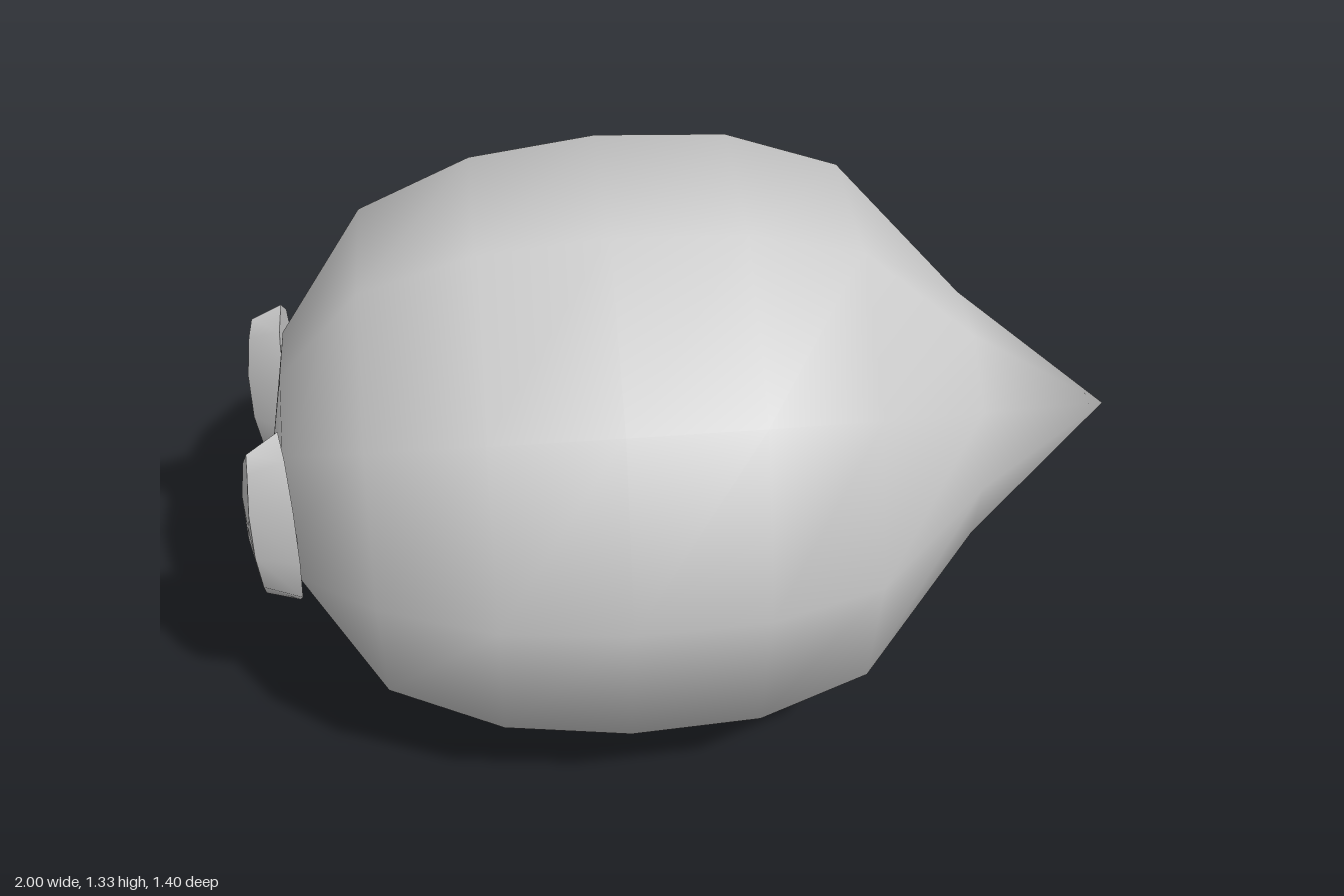
import * as THREE from 'three';
import { mergeVertices } from 'three/addons/utils/BufferGeometryUtils.js';

const material = new THREE.MeshStandardMaterial({ color: 0xcccccc });

// Ten-sided smooth body turned around the x axis, pointed at +x
function makeBody() {
  const profile = [
    [-0.94, 0], [-0.89, 0.29], [-0.7, 0.562], [-0.45, 0.665], [-0.17, 0.7],
    [0.12, 0.687], [0.37, 0.605], [0.65, 0.292], [1, 0],
  ].map(([x, r]) => new THREE.Vector2(r, x));
  let geometry = new THREE.LatheGeometry(profile, 10);
  geometry.deleteAttribute('uv');
  geometry.deleteAttribute('normal');
  geometry = mergeVertices(geometry, 1e-4);
  geometry.rotateZ(-Math.PI / 2);
  geometry.computeVertexNormals();
  const body = new THREE.Mesh(geometry, material);
  body.name = 'body';
  body.position.y = 0.667;
  return body;
}

// Tall oval disc facing -x, narrowing outward with a slightly domed face
function makeDisc(name, x, z, turn) {
  const geometry = new THREE.CylinderGeometry(1, 1, 0.092, 10, 1, false, Math.PI / 2);
  geometry.rotateZ(Math.PI / 2);
  const p = geometry.attributes.position;
  for (let i = 0; i < p.count; i++) {
    const outer = p.getX(i) < 0;
    const y = p.getY(i) * (outer ? 0.195 : 0.237);
    const bend = outer ? 0.5 * y * y : 0;
    p.setXYZ(i, p.getX(i) + bend, y, p.getZ(i) * (outer ? 0.039 : 0.081));
  }
  geometry.computeVertexNormals();
  const disc = new THREE.Mesh(geometry, material);
  disc.name = name;
  disc.position.set(x, 0.675, z);
  disc.rotation.y = turn;
  return disc;
}

export function createModel() {
  const model = new THREE.Group();
  model.name = 'pointedBody';
  model.add(
    makeBody(),
    makeDisc('frontDisc', -0.936, 0.256, 0.25),
    makeDisc('backDisc', -0.95, -0.256, -0.13),
  );
  return model;
}
